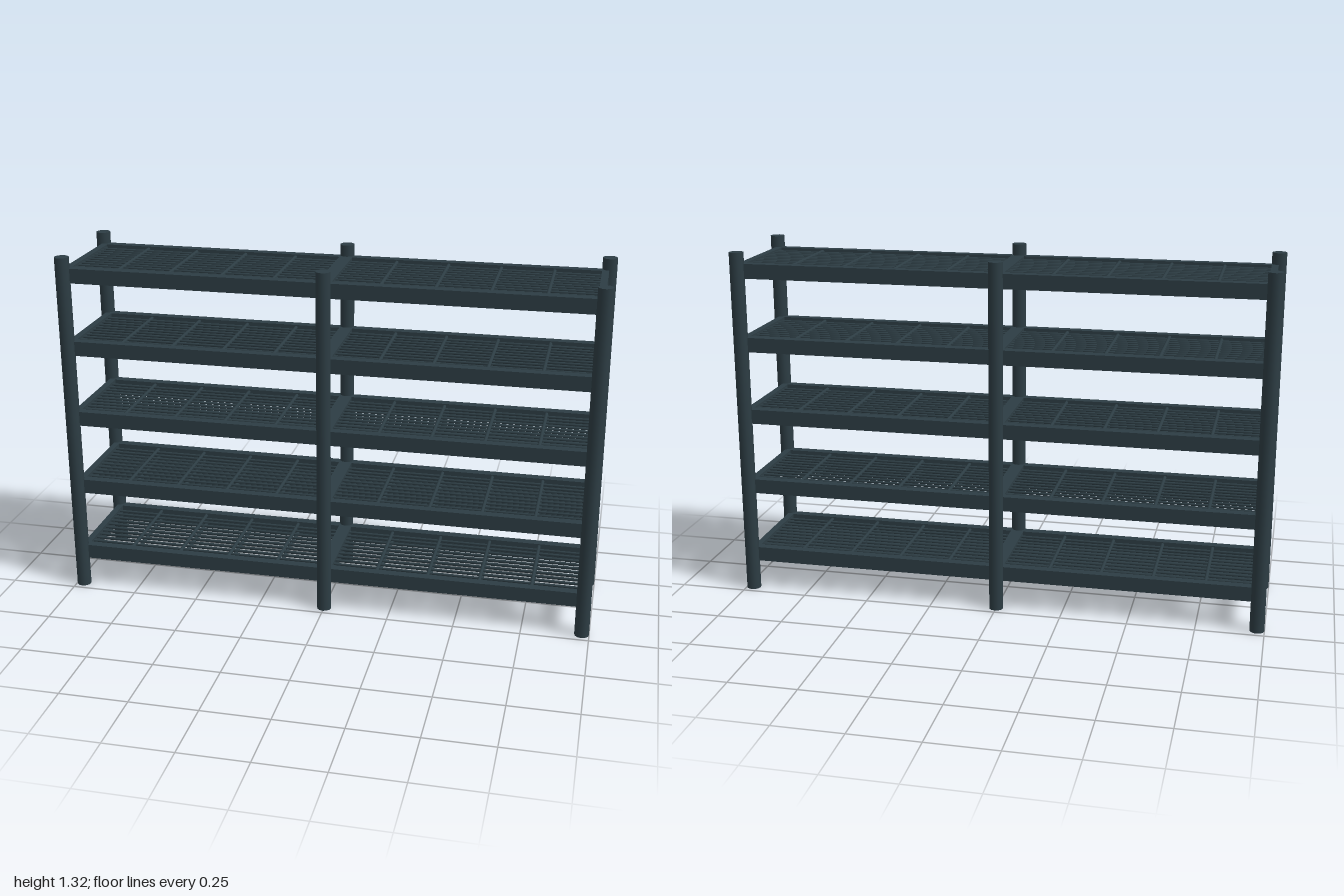
import * as THREE from 'three';

export function createModel() {
  const model = new THREE.Group();
  const steel = new THREE.MeshStandardMaterial({ color: 0x2d3d44 });
  steel.name = 'dark steel';

  const add = (parent, geometry, name, x, y, z) => {
    const mesh = new THREE.Mesh(geometry, steel);
    mesh.name = name;
    mesh.position.set(x, y, z);
    parent.add(mesh);
  };

  const height = 1.32, postX = 0.973, postZ = 0.208, postR = 0.027;
  const railH = 0.055, railD = 0.034, endW = 0.025, railZ = 0.192;
  const bay = 0.972, layerY = 0.0174;

  // Upright posts
  const post = new THREE.CylinderGeometry(postR, postR, height, 12);
  for (const x of [-postX, 0, postX])
    for (const z of [-postZ, postZ]) add(model, post, 'post', x, height / 2, z);

  // Shared parts of one shelf bay
  const longRail = new THREE.BoxGeometry(bay, railH, railD);
  const endRail = new THREE.BoxGeometry(endW, railH, 2 * railZ);
  const longWire = new THREE.CylinderGeometry(0.005, 0.005, bay - endW, 8).rotateZ(Math.PI / 2);
  const crossBar = new THREE.CylinderGeometry(0.007, 0.007, 2 * railZ - railD, 8).rotateX(Math.PI / 2);

  // Five levels, each with two framed shelves carrying an upper and a lower wire grid
  for (let level = 0; level < 5; level++) {
    for (const side of [-1, 1]) {
      const shelf = new THREE.Group();
      shelf.name = 'shelf';
      shelf.position.set(side * bay / 2, 0.14 + level * 0.2775, 0);
      for (const s of [-1, 1]) {
        add(shelf, longRail, 'longRail', 0, 0, s * railZ);
        add(shelf, endRail, 'endRail', s * (bay - endW) / 2, 0, 0);
        for (let i = 0; i < 10; i++) add(shelf, longWire, 'longWire', 0, s * layerY, (i - 4.5) * 0.032);
        for (let i = 1; i < 5; i++) add(shelf, crossBar, 'crossBar', (i / 5 - 0.5) * bay, s * layerY, 0);
      }
      model.add(shelf);
    }
  }
  return model;
}
